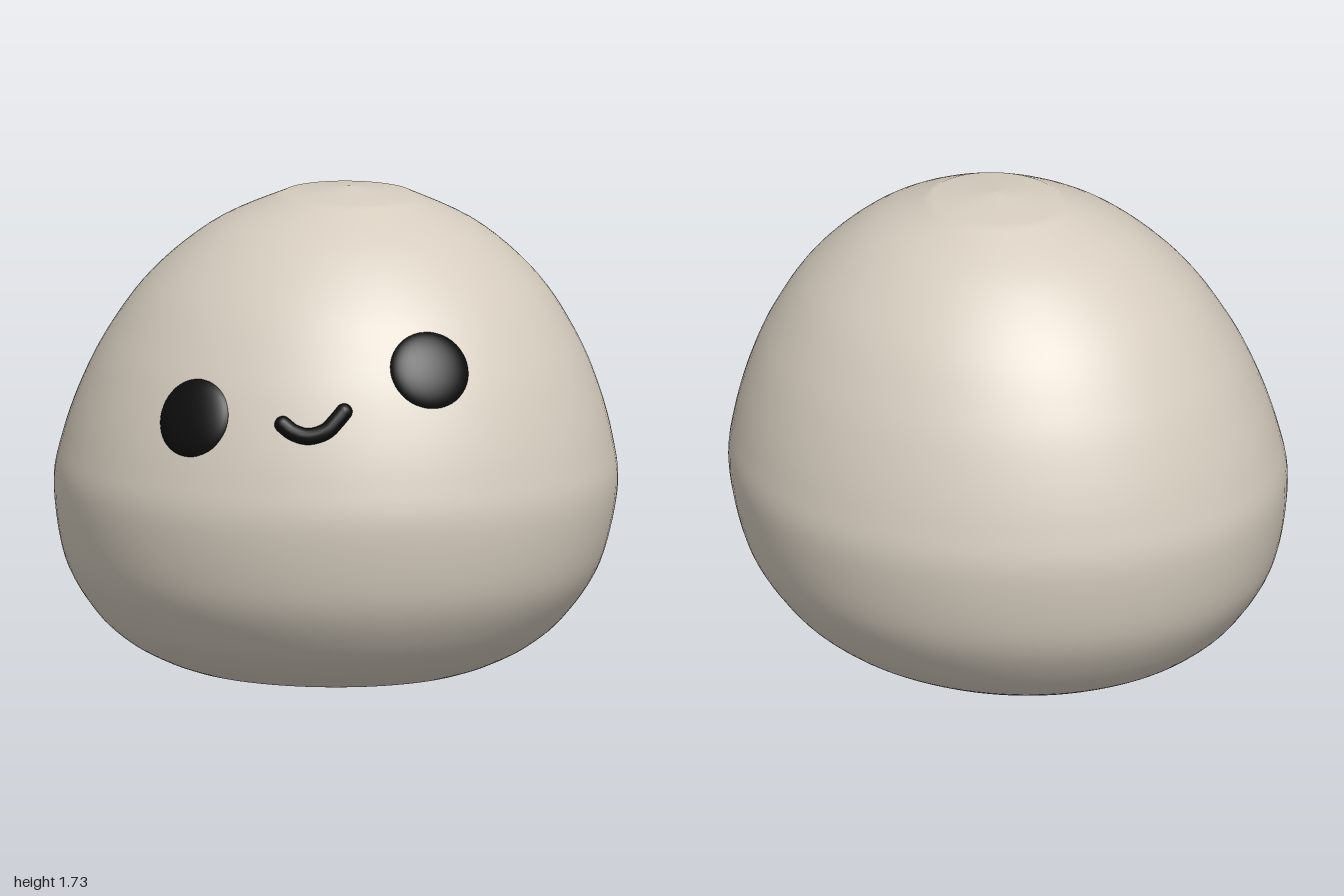
import * as THREE from 'three';

const DEPTH = 0.91; // front-to-back squash of the body
const lean = (y) => 0.045 * (y - 0.65); // body leans slightly to its left

// Side curve of the body, from the rim of the base to the crown
const sideCurve = new THREE.SplineCurve([
  [0.54, 0.02], [0.62, 0.05], [0.73, 0.11], [0.84, 0.21], [0.95, 0.39], [1, 0.65],
  [0.975, 0.83], [0.915, 1.02], [0.83, 1.2], [0.69, 1.4], [0.48, 1.58], [0.23, 1.7],
].map(([r, y]) => new THREE.Vector2(r, y)));
const side = sideCurve.getPoints(60);

// Body radius at a height
function radiusAt(y) {
  const i = Math.max(1, side.findIndex((p) => p.y >= y));
  const a = side[i - 1], b = side[i];
  return THREE.MathUtils.mapLinear(y, a.y, b.y, a.x, b.x);
}

// Point on the front of the body
function frontPoint(x, y) {
  const r = radiusAt(y), dx = x - lean(y);
  return new THREE.Vector3(x, y, DEPTH * Math.sqrt(r * r - dx * dx));
}

// Outward direction on the front of the body
function frontNormal(x, y) {
  const e = 0.03;
  const dx = frontPoint(x + e, y).sub(frontPoint(x - e, y));
  const dy = frontPoint(x, y + e).sub(frontPoint(x, y - e));
  return dx.cross(dy).normalize();
}

export function createModel() {
  const group = new THREE.Group();
  const skin = new THREE.MeshStandardMaterial({ color: 0xd6cdbf });
  skin.name = 'warm grey skin';
  const black = new THREE.MeshStandardMaterial({ color: 0x0d0d0d });
  black.name = 'black features';

  const add = (name, geometry, material) => {
    const mesh = new THREE.Mesh(geometry, material);
    mesh.name = name;
    group.add(mesh);
    return mesh;
  };

  // Body: turned profile with a flat base, squashed and leaned
  const profile = [new THREE.Vector2(0, 0), new THREE.Vector2(0.5, 0.015), ...side, new THREE.Vector2(0, 1.725)];
  const bodyGeometry = new THREE.LatheGeometry(profile, 96);
  bodyGeometry.scale(1, 1, DEPTH);
  const pos = bodyGeometry.attributes.position;
  for (let i = 0; i < pos.count; i++) pos.setX(i, pos.getX(i) + lean(pos.getY(i)));
  add('body', bodyGeometry, skin);

  // Eyes: flattened balls lying on the surface
  const eyes = [['rightEye', -0.285, 1.025], ['leftEye', 0.53, 1.21]];
  for (const [name, x, y] of eyes) {
    const eye = add(name, new THREE.SphereGeometry(1, 40, 24), black);
    const normal = frontNormal(x, y);
    eye.scale.set(0.145, 0.145, 0.045);
    eye.position.copy(frontPoint(x, y)).addScaledVector(normal, -0.018);
    eye.quaternion.setFromUnitVectors(new THREE.Vector3(0, 0, 1), normal);
  }

  // Mouth: smiling tube following the surface, with round ends
  const mouthPath = [[0.06, 1.03], [0.1, 1.005], [0.155, 0.993], [0.215, 1.012], [0.248, 1.048], [0.27, 1.078]]
    .map(([x, y]) => frontPoint(x, y));
  const mouthCurve = new THREE.CatmullRomCurve3(mouthPath);
  add('mouth', new THREE.TubeGeometry(mouthCurve, 40, 0.03, 16), black);
  for (const [name, t] of [['mouthRightEnd', 0], ['mouthLeftEnd', 1]]) {
    add(name, new THREE.SphereGeometry(0.03, 16, 12), black).position.copy(mouthCurve.getPoint(t));
  }

  return group;
}
